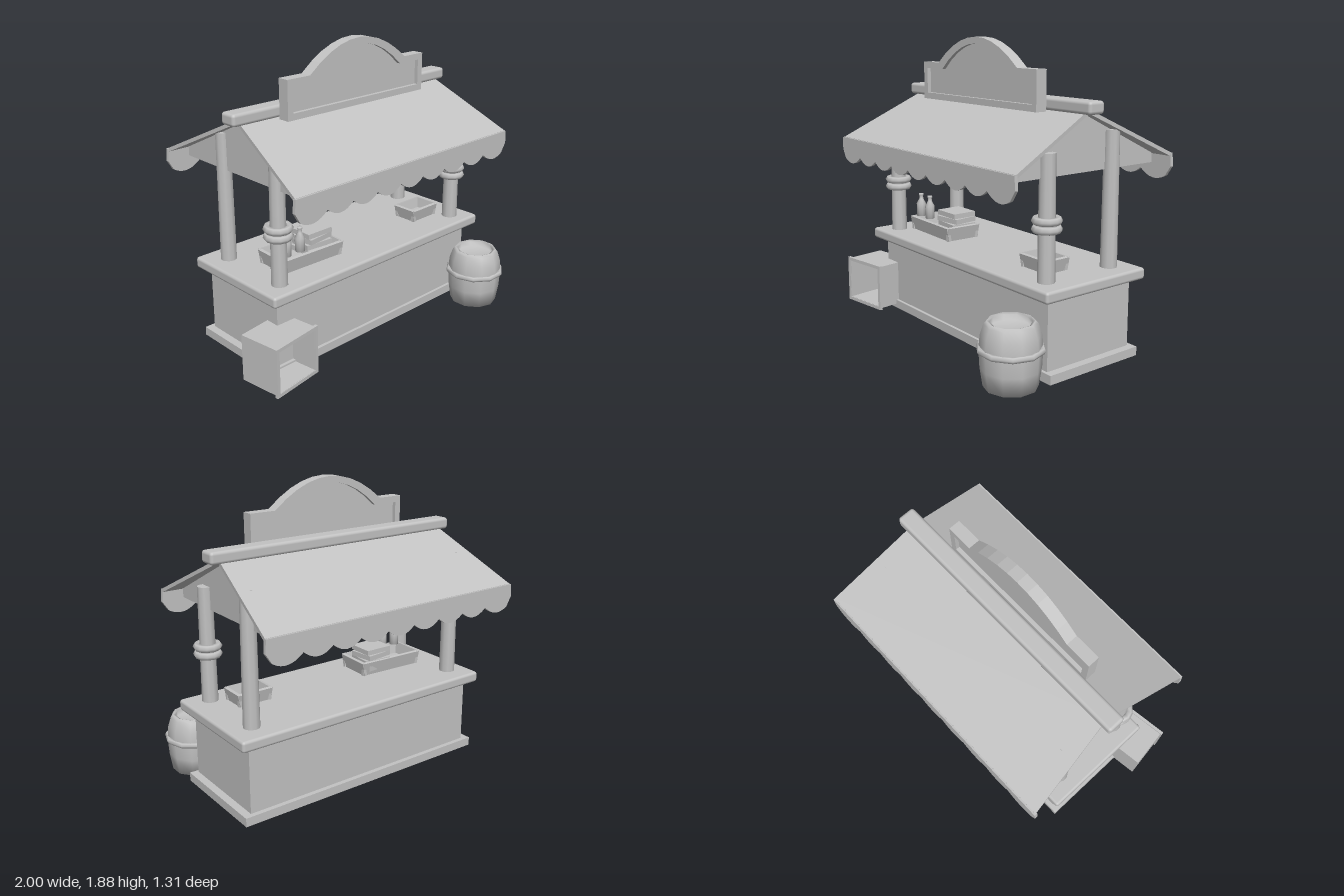
import * as THREE from 'three';
import { RoundedBoxGeometry } from 'three/addons/geometries/RoundedBoxGeometry.js';

const grey = new THREE.MeshStandardMaterial({ color: 0xc2c2c2, side: THREE.DoubleSide });
grey.name = 'plain grey';

export function createModel() {
  const root = new THREE.Group();
  root.name = 'marketStall';

  const add = (name, geo, x = 0, y = 0, z = 0, parent = root) => {
    const m = new THREE.Mesh(geo, grey);
    m.name = name;
    m.position.set(x, y, z);
    parent.add(m);
    return m;
  };
  // Box given by its limits, with an optional rounded edge
  const block = (name, [x0, x1], [y0, y1], [z0, z1], r = 0, parent = root) => {
    const s = [x1 - x0, y1 - y0, z1 - z0];
    const geo = r ? new RoundedBoxGeometry(...s, 2, r) : new THREE.BoxGeometry(...s);
    return add(name, geo, (x0 + x1) / 2, (y0 + y1) / 2, (z0 + z1) / 2, parent);
  };
  const extrude = (shape, depth) => new THREE.ExtrudeGeometry(shape, { depth, bevelEnabled: false, curveSegments: 8 });
  const rectangle = (T, x0, x1, y0, y1) => new T([[x0, y0], [x1, y0], [x1, y1], [x0, y1]].map(p => new THREE.Vector2(...p)));
  // Upright hollow rectangle, open above and below
  const wallRing = (name, [x0, x1], [y0, y1], [z0, z1], t) => {
    const s = rectangle(THREE.Shape, x0, x1, -z1, -z0);
    s.holes.push(rectangle(THREE.Path, x0 + t, x1 - t, -z1 + t, -z0 - t));
    return add(name, extrude(s, y1 - y0).rotateX(-Math.PI / 2), 0, y0, 0);
  };
  const lathe = (points, sides) => new THREE.LatheGeometry(points.map(p => new THREE.Vector2(...p)), sides);

  // Counter
  wallRing('counterBase', [-0.83, 0.95], [0.01, 0.065], [-0.39, 0.3], 0.1);
  wallRing('counterBody', [-0.78, 0.9], [0.06, 0.49], [-0.36, 0.28], 0.04);
  block('counterTop', [-0.85, 0.97], [0.485, 0.555], [-0.42, 0.35], 0.018);

  // Posts, with a pair of rope rings on the front ones
  for (const x of [-0.71, 0.82]) {
    for (const [z, top] of [[0.225, 1.28], [-0.265, 1.37]]) {
      add('post', new THREE.CylinderGeometry(0.046, 0.055, top, 10), x, top / 2, z);
    }
    for (const y of [0.86, 0.908]) {
      add('ropeRing', new THREE.TorusGeometry(0.066, 0.023, 6, 12).rotateX(Math.PI / 2), x, y, 0.225);
    }
  }

  // Roof slopes, narrower at the ridge than at the eaves
  for (const [side, eave] of [[1, 0.55], [-1, -0.64]]) {
    const geo = new THREE.BoxGeometry(1, 0.024, 1);
    const p = geo.attributes.position;
    for (let i = 0; i < p.count; i++) {
      const u = 0.5 + side * p.getZ(i);
      p.setXYZ(i,
        0.045 + 2 * p.getX(i) * THREE.MathUtils.lerp(0.82, 0.9, u),
        THREE.MathUtils.lerp(1.487, 1.2, u) + p.getY(i),
        THREE.MathUtils.lerp(-0.035, eave, u));
    }
    geo.computeVertexNormals();
    add('roofSlope', geo);

    // Scalloped cloth edge
    const s = new THREE.Shape();
    s.moveTo(-0.86, 1.21);
    s.lineTo(-0.865, 1.13);
    s.lineTo(-0.83, 1.07);
    const n = 9, w = 1.74 / n;
    for (let i = 0; i < n; i++) {
      const x = -0.83 + i * w;
      s.quadraticCurveTo(x + w / 2, 1.01, x + w, i === n - 1 ? 1.07 : 1.095);
    }
    s.lineTo(0.95, 1.13);
    s.lineTo(0.945, 1.21);
    add('scallopedEdge', extrude(s, 0.02), 0, 0, eave - 0.01);
  }
  block('ridgeBeam', [-0.845, 0.935], [1.475, 1.55], [-0.085, 0.03], 0.02);

  // Gable panels
  const gable = new THREE.Shape([[-0.62, 1.14], [0.535, 1.14], [0.535, 1.2], [-0.035, 1.48], [-0.62, 1.2]]
    .map(([z, y]) => new THREE.Vector2(-z, y)));
  for (const x of [-0.72, 0.78]) {
    add('gablePanel', extrude(gable, 0.03).rotateY(Math.PI / 2), x);
  }

  // Sign board: arched frame around a recessed panel
  const signOutline = (T, d) => {
    const s = new T();
    const arch = new THREE.QuadraticBezierCurve(
      new THREE.Vector2(0.43 - d, 1.71 - d), new THREE.Vector2(0.035, 2.05 - d), new THREE.Vector2(-0.36 + d, 1.71 - d));
    s.moveTo(-0.53 + d, 1.47 + d);
    s.lineTo(0.6 - d, 1.47 + d);
    s.lineTo(0.6 - d, 1.71 - d);
    arch.getPoints(10).forEach(q => s.lineTo(q.x, q.y));
    s.lineTo(-0.53 + d, 1.71 - d);
    s.closePath();
    return s;
  };
  const frame = signOutline(THREE.Shape, 0);
  frame.holes.push(signOutline(THREE.Path, 0.04));
  add('signFrame', extrude(frame, 0.075), 0, 0, 0.045);
  add('signPanel', extrude(signOutline(THREE.Shape, 0.03), 0.025), 0, 0, 0.07);

  // Open trays with flaring walls
  const tray = (name, [x0, x1], [z0, z1], h) => {
    const g = new THREE.Group();
    g.name = name;
    g.position.set((x0 + x1) / 2, 0.565, (z0 + z1) / 2);
    root.add(g);
    const w = (x1 - x0) / 2, d = (z1 - z0) / 2, t = 0.02, f = 0.02;
    block('trayFloor', [-w + f, w - f], [0, 0.015], [-d + f, d - f], 0, g);
    for (const s of [-1, 1]) {
      block('trayEnd', [-t / 2, t / 2], [0, h], [-d + 0.01, d - 0.01], 0, g).position.x = s * (w - f);
      g.children.at(-1).rotation.z = -s * 0.2;
      block('traySide', [-w + 0.01, w - 0.01], [0, h], [-t / 2, t / 2], 0, g).position.z = s * (d - f);
      g.children.at(-1).rotation.x = s * 0.2;
    }
    return g;
  };
  tray('goodsTray', [-0.64, -0.16], [-0.07, 0.19], 0.09).rotation.y = -0.04;
  tray('smallTray', [0.51, 0.76], [-0.02, 0.17], 0.08);

  // Goods: two bottles and a stack of books
  const bottle = lathe([[0, 0], [0.03, 0], [0.032, 0.085], [0.014, 0.12], [0.013, 0.14], [0.017, 0.145], [0.016, 0.155], [0, 0.155]], 10);
  for (const x of [-0.575, -0.47]) add('bottle', bottle, x, 0.66, 0.13);
  for (let i = 0; i < 4; i++) {
    const book = block('book', [-0.39, -0.2], [0.59 + i * 0.037, 0.622 + i * 0.037], [-0.05, 0.12]);
    book.rotation.y = [0.1, -0.08, 0.12, 0][i];
  }

  // Barrel with a hoop and a sunken lid
  add('barrel', lathe([[0, 0.01], [0.155, 0.01], [0.172, 0.12], [0.178, 0.23], [0.17, 0.31],
    [0.15, 0.37], [0.135, 0.387], [0.118, 0.38], [0.118, 0.345], [0, 0.345]], 10), 0.815, 0, 0.47);
  add('barrelHoop', new THREE.TorusGeometry(0.178, 0.018, 6, 10).rotateX(Math.PI / 2), 0.815, 0.23, 0.47);

  // Crate lying on its side, open to the front with a thin rim
  const crate = new THREE.Group();
  crate.name = 'crate';
  crate.position.set(-0.81, 0.03, 0.34);
  crate.rotation.y = 0.14;
  root.add(crate);
  const boxed = (name, x, h0, h1, z0, z1, t) => {
    const s = rectangle(THREE.Shape, -x, x, h0, h1);
    s.holes.push(rectangle(THREE.Path, -x + t, x - t, h0 + t, h1 - t));
    add(name, extrude(s, z1 - z0), 0, 0, z0, crate);
  };
  boxed('crateWalls', 0.165, 0.008, 0.302, -0.14, 0.13, 0.015);
  boxed('crateRim', 0.175, 0, 0.31, 0.115, 0.135, 0.022);
  block('crateBack', [-0.165, 0.165], [0.008, 0.302], [-0.145, -0.13], 0, crate);

  return root;
}
